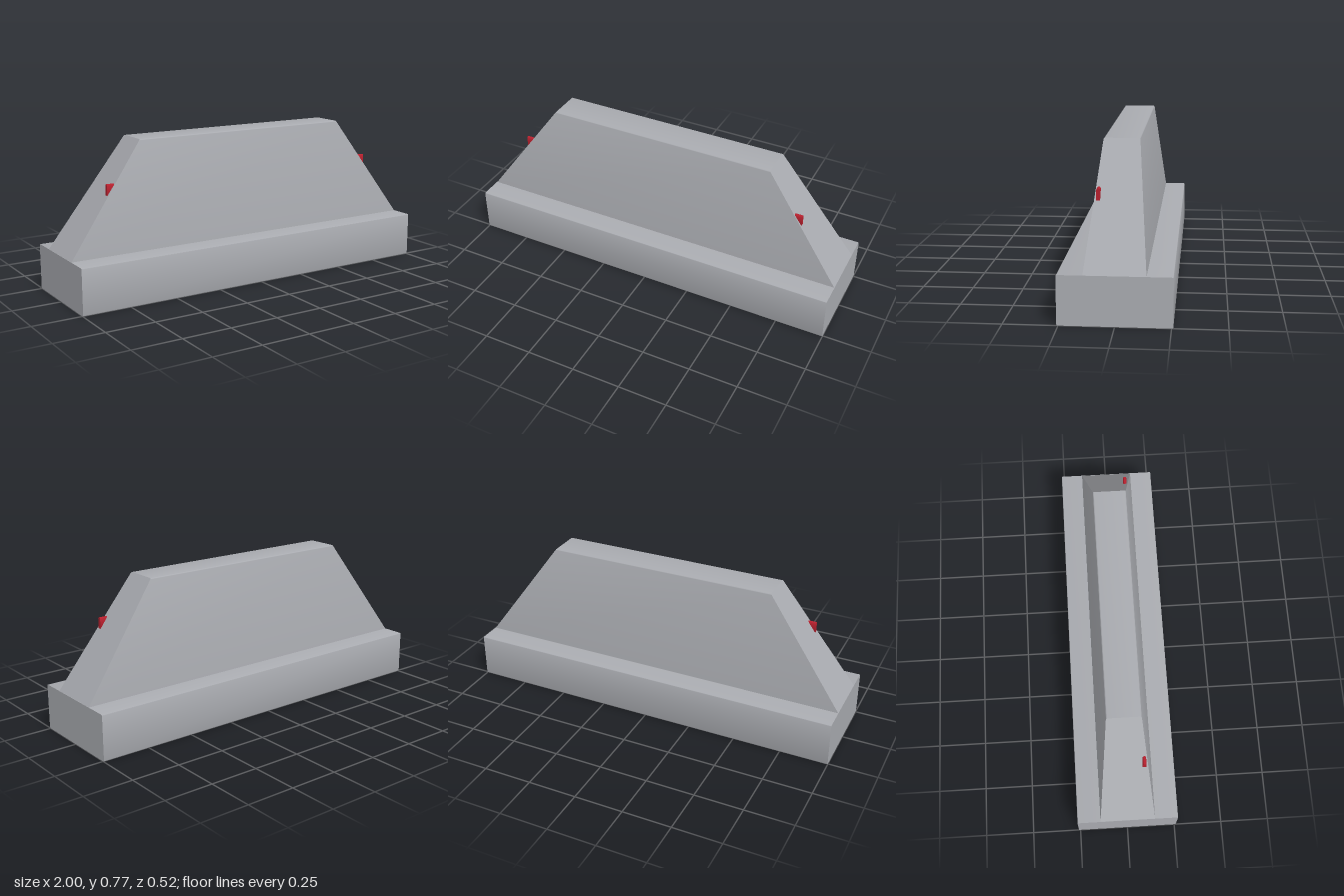
import * as THREE from 'three';
import { toCreasedNormals } from 'three/addons/utils/BufferGeometryUtils.js';

// Closed polygon with corners rounded by its own radius each: [x, y, r]
function roundedShape(points) {
  const shape = new THREE.Shape();
  const n = points.length;
  points.forEach(([x, y, r], i) => {
    const corner = new THREE.Vector2(x, y);
    const toward = ([px, py]) =>
      new THREE.Vector2(px, py).sub(corner).setLength(r).add(corner);
    const a = toward(points[(i + n - 1) % n]);
    const b = toward(points[(i + 1) % n]);
    if (i === 0) shape.moveTo(a.x, a.y);
    else shape.lineTo(a.x, a.y);
    if (r > 0) shape.quadraticCurveTo(x, y, b.x, b.y);
  });
  shape.closePath();
  return shape;
}

// Extrudes a cross-section along x, centred on x = 0
function extrudeAlongX(shape, length, curveSegments = 5) {
  const geometry = new THREE.ExtrudeGeometry(shape, { depth: length, bevelEnabled: false, curveSegments });
  geometry.translate(0, 0, -length / 2);
  geometry.rotateY(Math.PI / 2);
  return geometry;
}

export function createModel() {
  const model = new THREE.Group();
  model.name = 'barrier';

  const concrete = new THREE.MeshStandardMaterial({ color: 0xa9abb0 });
  concrete.name = 'concrete grey';
  const red = new THREE.MeshStandardMaterial({ color: 0xb8202e });
  red.name = 'reflector red';

  const add = (geometry, material, name) => {
    const mesh = new THREE.Mesh(toCreasedNormals(geometry, 0.5), material);
    mesh.name = name;
    model.add(mesh);
    return mesh;
  };

  // Wide rectangular foot
  const r = 0.007;
  const footShape = roundedShape([
    [-0.258, 0, r], [0.258, 0, r], [0.258, 0.232, r], [-0.258, 0.232, r],
  ]);
  add(extrudeAlongX(footShape, 2), concrete, 'foot');

  // Tapered wall whose ends slope inward toward the top
  const low = 0.23, high = 0.775;
  const wallShape = roundedShape([
    [-0.14, low, 0], [0.14, low, 0], [0.085, high, 0.009], [-0.085, high, 0.009],
  ]);
  const wall = extrudeAlongX(wallShape, 2);
  const p = wall.attributes.position;
  for (let i = 0; i < p.count; i++) {
    const t = (p.getY(i) - low) / (high - low);
    p.setX(i, p.getX(i) * (1 - 0.4 * t));
  }
  add(wall, concrete, 'wall');

  // Slot-shaped reflectors set into both sloping ends, near the front
  const slot = new THREE.Shape();
  const w = 0.009;
  slot.absarc(0, 0.022, w, 0, Math.PI, false);
  slot.absarc(0, -0.022, w, Math.PI, Math.PI * 2, false);
  slot.closePath();
  for (const side of [1, -1]) {
    const name = side > 0 ? 'leftReflector' : 'rightReflector';
    const reflector = add(extrudeAlongX(slot, 0.06, 8), red, name);
    reflector.position.set(side * 0.758, 0.544, 0.092);
  }

  return model;
}
